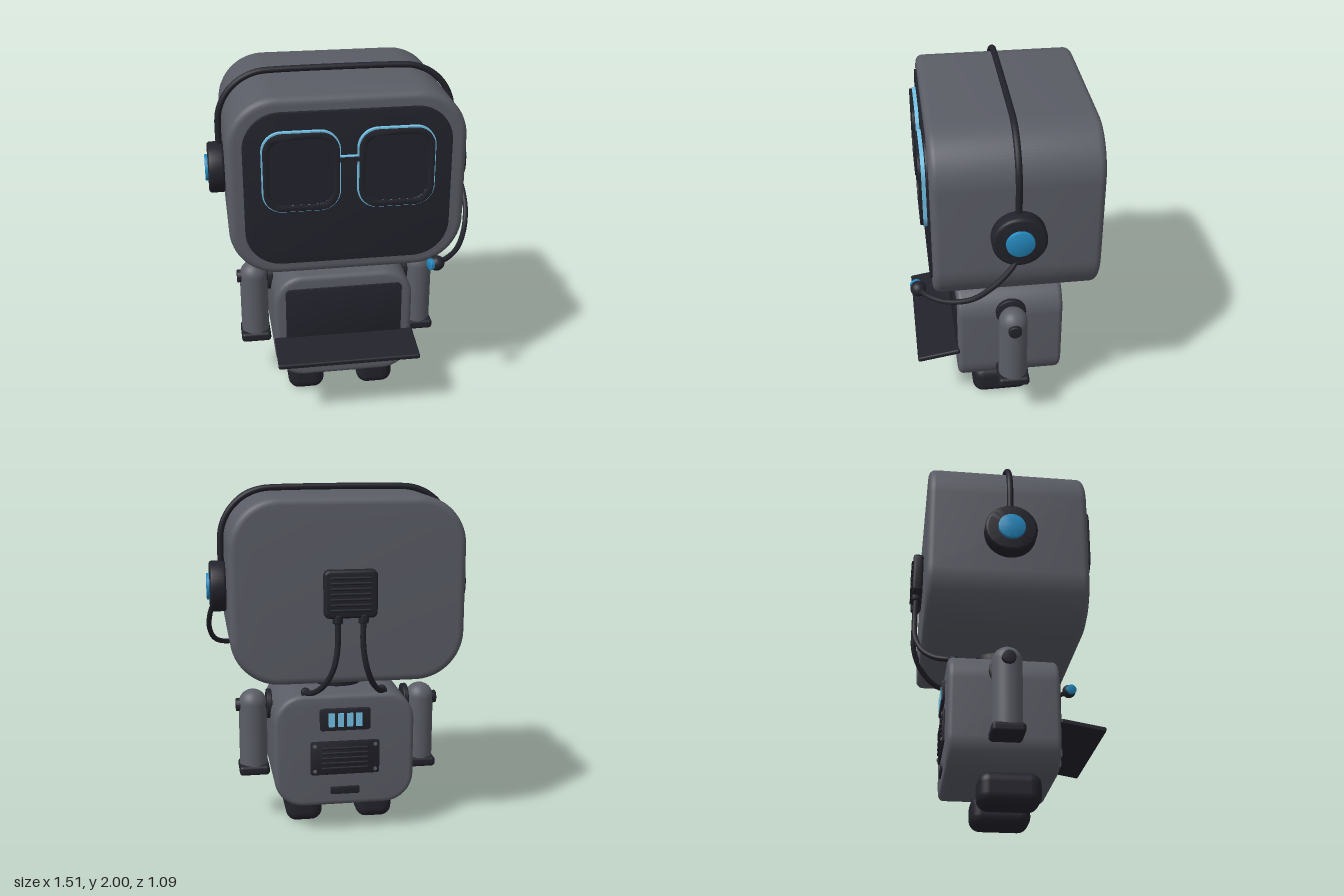
import * as THREE from 'three';
import { toCreasedNormals } from 'three/addons/utils/BufferGeometryUtils.js';
import { RoundedBoxGeometry } from 'three/addons/geometries/RoundedBoxGeometry.js';

const material = (name, color) => Object.assign(new THREE.MeshStandardMaterial({ color }), { name });
const shell = material('shell grey', 0x5b5d66);
const dark = material('dark plastic', 0x22222b);
const glass = material('screen black', 0x23232d);
const blue = material('accent blue', 0x2488bd);
const glow = material('glow blue', 0x74c4e8);

const MID = -0.025; // z of the shoulder, ear and neck axis
const V = (x, y, z) => new THREE.Vector3(x, y, z);

function roundRect(w, h, r, Type = THREE.Shape) {
  const s = new Type(), x = w / 2, y = h / 2;
  s.moveTo(-x + r, -y);
  s.lineTo(x - r, -y).absarc(x - r, -y + r, r, -Math.PI / 2, 0);
  s.lineTo(x, y - r).absarc(x - r, y - r, r, 0, Math.PI / 2);
  s.lineTo(-x + r, y).absarc(-x + r, y - r, r, Math.PI / 2, Math.PI);
  s.lineTo(-x, -y + r).absarc(-x + r, -y + r, r, Math.PI, Math.PI * 1.5);
  return s;
}

// Extrusion of depth d along z with a rounded edge b, centred on the origin
function extrude(shape, d, b = 0, bevelSegments = 4) {
  const geo = new THREE.ExtrudeGeometry(shape, {
    depth: d - 2 * b, bevelEnabled: b > 0, bevelThickness: b, bevelSize: b,
    bevelOffset: -b, bevelSegments, curveSegments: 12,
  });
  return toCreasedNormals(geo.center(), 0.6);
}
const slab = (w, h, d, r, b, n) => extrude(roundRect(w, h, r), d, b, n);

// Round disc about y with softened rims
function disc(r, h, b) {
  const p = [new THREE.Vector2(0, -h / 2)];
  for (let i = 0; i <= 4; i++) {
    const a = (i / 4) * Math.PI / 2;
    p.push(new THREE.Vector2(r - b + b * Math.sin(a), -h / 2 + b - b * Math.cos(a)));
  }
  for (let i = 0; i <= 4; i++) {
    const a = (i / 4) * Math.PI / 2;
    p.push(new THREE.Vector2(r - b + b * Math.cos(a), h / 2 - b + b * Math.sin(a)));
  }
  p.push(new THREE.Vector2(0, h / 2));
  return toCreasedNormals(new THREE.LatheGeometry(p, 40), 0.6);
}
const discX = (r, h, b) => disc(r, h, b).rotateZ(-Math.PI / 2);
const discZ = (r, h, b) => disc(r, h, b).rotateX(Math.PI / 2);
const tube = (pts, r, n = 48) =>
  new THREE.TubeGeometry(new THREE.CatmullRomCurve3(pts, false, 'centripetal'), n, r, 12);

export function createModel() {
  const model = new THREE.Group();
  model.name = 'robot';
  const add = (name, geo, mat, x = 0, y = 0, z = 0) => {
    const mesh = new THREE.Mesh(geo, mat);
    mesh.name = name;
    mesh.position.set(x, y, z);
    model.add(mesh);
    return mesh;
  };

  // Head, face and neck
  add('head', slab(1.29, 1.015, 0.9, 0.27, 0.04, 5), shell, 0, 1.457, -0.03);
  add('facePanel', slab(1.12, 0.87, 0.03, 0.2, 0.004, 2), glass, 0, 1.455, 0.416);
  add('neck', disc(0.14, 0.15, 0.015), dark, 0, 0.9, MID);

  // Glasses: dark frames over glowing rims
  const ring = (w, h, r, t, d, b) => {
    const s = roundRect(w, h, r);
    s.holes.push(roundRect(w - 2 * t, h - 2 * t, r - t * 0.6, THREE.Path));
    return extrude(s, d, b, 2);
  };
  for (const s of [-1, 1]) {
    add('glassesRim', ring(0.42, 0.45, 0.11, 0.035, 0.024, 0), glow, s * 0.255, 1.565, 0.44);
    add('glassesFrame', ring(0.405, 0.435, 0.103, 0.032, 0.016, 0.003), dark, s * 0.255, 1.565, 0.459);
    add('lens', slab(0.36, 0.39, 0.012, 0.08, 0), glass, s * 0.255, 1.565, 0.437);
  }
  add('bridgeRim', new THREE.BoxGeometry(0.1, 0.032, 0.024), glow, 0, 1.625, 0.44);
  add('bridge', new THREE.BoxGeometry(0.11, 0.022, 0.014), dark, 0, 1.625, 0.458);

  // Headset
  const band = [V(0.667, 1.45, MID), V(0.667, 1.58, MID)];
  for (let i = 0; i <= 8; i++) {
    const a = (i / 8) * Math.PI / 2;
    band.push(V(0.377 + 0.29 * Math.cos(a), 1.692 + 0.29 * Math.sin(a), MID));
  }
  const mirrored = band.map((p) => V(-p.x, p.y, p.z)).reverse();
  add('headband', tube([...band, ...mirrored], 0.018, 120), dark);
  for (const s of [-1, 1]) {
    add('earCup', discX(0.145, 0.095, 0.018), dark, s * 0.688, 1.43, MID);
    add('earLight', discX(0.075, 0.04, 0.004), blue, s * 0.732, 1.43, MID);
  }
  add('microphoneBoom', tube([V(0.715, 1.33, -0.02), V(0.735, 1.26, 0.03), V(0.74, 1.16, 0.125),
    V(0.71, 1.07, 0.23), V(0.64, 1.015, 0.36), V(0.56, 1, 0.45), V(0.485, 0.997, 0.5)], 0.015), dark);
  add('microphone', new THREE.SphereGeometry(0.043, 24, 16), dark, 0.485, 0.997, 0.5);
  add('microphoneTip', discX(0.032, 0.025, 0.004), blue, 0.45, 0.997, 0.51).rotation.y = 0.28;

  // Socket and cables behind the head
  add('socket', slab(0.29, 0.26, 0.06, 0.03, 0.015), dark, 0, 1.455, -0.51);
  for (let i = 0; i < 7; i++) {
    add('socketRib', new RoundedBoxGeometry(0.22, 0.014, 0.02, 2, 0.006), dark, 0, 1.37 + i * 0.029, -0.54);
  }
  for (const s of [-1, 1]) {
    add('cableCollar', disc(0.028, 0.05, 0.006), dark, s * 0.07, 1.32, -0.515);
    add('cable', tube([V(s * 0.07, 1.33, -0.515), V(s * 0.07, 1.17, -0.517), V(s * 0.09, 1.05, -0.512),
      V(s * 0.13, 0.95, -0.47), V(s * 0.18, 0.885, -0.4), V(s * 0.215, 0.86, -0.33),
      V(s * 0.22, 0.855, -0.28)], 0.016), dark);
    add('cablePlug', discZ(0.026, 0.04, 0.005), dark, s * 0.22, 0.853, -0.295);
  }

  // Body front
  add('body', slab(0.81, 0.67, 0.615, 0.17, 0.03, 5), shell, 0, 0.51, MID);
  add('screen', slab(0.68, 0.35, 0.03, 0.03, 0.003, 2), glass, 0, 0.595, 0.277);
  add('tray', new RoundedBoxGeometry(0.82, 0.03, 0.25, 2, 0.01), dark, 0, 0.422, 0.4).rotation.x = 0.165;

  const cross = new THREE.Shape(), a = 0.063, c = 0.021;
  cross.setFromPoints([[c, a], [-c, a], [-c, c], [-a, c], [-a, -c], [-c, -c], [-c, -a], [c, -a],
    [c, -c], [a, -c], [a, c], [c, c]].map(([x, y]) => new THREE.Vector2(x, y)));
  add('directionPad', extrude(cross, 0.04, 0.006, 2), shell, -0.24, 0.3, 0.28);
  for (const [x, y] of [[0.18, 0.278], [0.25, 0.327]]) {
    add('button', discZ(0.031, 0.04, 0.004), blue, x, y, 0.283);
  }

  // Body back: battery gauge, vent and slot
  add('gauge', slab(0.29, 0.13, 0.03, 0.015, 0.006, 2), dark, 0, 0.7, -0.335);
  for (let i = 0; i < 4; i++) {
    add('gaugeBar', new THREE.BoxGeometry(0.036, 0.08, 0.009), glow, (i - 1.5) * 0.052, 0.7, -0.35);
  }
  add('vent', slab(0.4, 0.2, 0.025, 0.015, 0.005, 2), dark, 0, 0.47, -0.333);
  for (let i = 0; i < 5; i++) {
    add('ventSlat', new RoundedBoxGeometry(0.27, 0.014, 0.016, 2, 0.005), dark, 0, 0.41 + i * 0.03, -0.346);
  }
  for (const x of [-0.175, 0.175]) {
    for (const y of [0.395, 0.545]) add('ventScrew', discZ(0.011, 0.012, 0.003), shell, x, y, -0.346);
  }
  add('slot', slab(0.17, 0.045, 0.02, 0.01, 0.004, 2), dark, 0, 0.27, -0.332);

  // Arms and feet
  const armProfile = [new THREE.Vector2(0.083, 0.34)];
  for (let i = 0; i <= 10; i++) {
    const t = (i / 10) * Math.PI / 2;
    armProfile.push(new THREE.Vector2(0.083 * Math.cos(t), 0.727 + 0.083 * Math.sin(t)));
  }
  for (const s of [-1, 1]) {
    add('arm', new THREE.LatheGeometry(armProfile, 32), shell, s * 0.503, 0, MID);
    add('shoulder', discX(0.088, 0.03, 0.006), dark, s * 0.408, 0.718, MID);
    add('shoulderAxle', discX(0.038, 0.2, 0.005), dark, s * 0.503, 0.718, MID);
    add('hand', new RoundedBoxGeometry(0.178, 0.058, 0.18, 4, 0.02), dark, s * 0.503, 0.328, MID);
    add('foot', new RoundedBoxGeometry(0.217, 0.19, 0.345, 6, 0.065), dark, s * 0.212, 0.095, 0.017);
  }
  return model;
}
